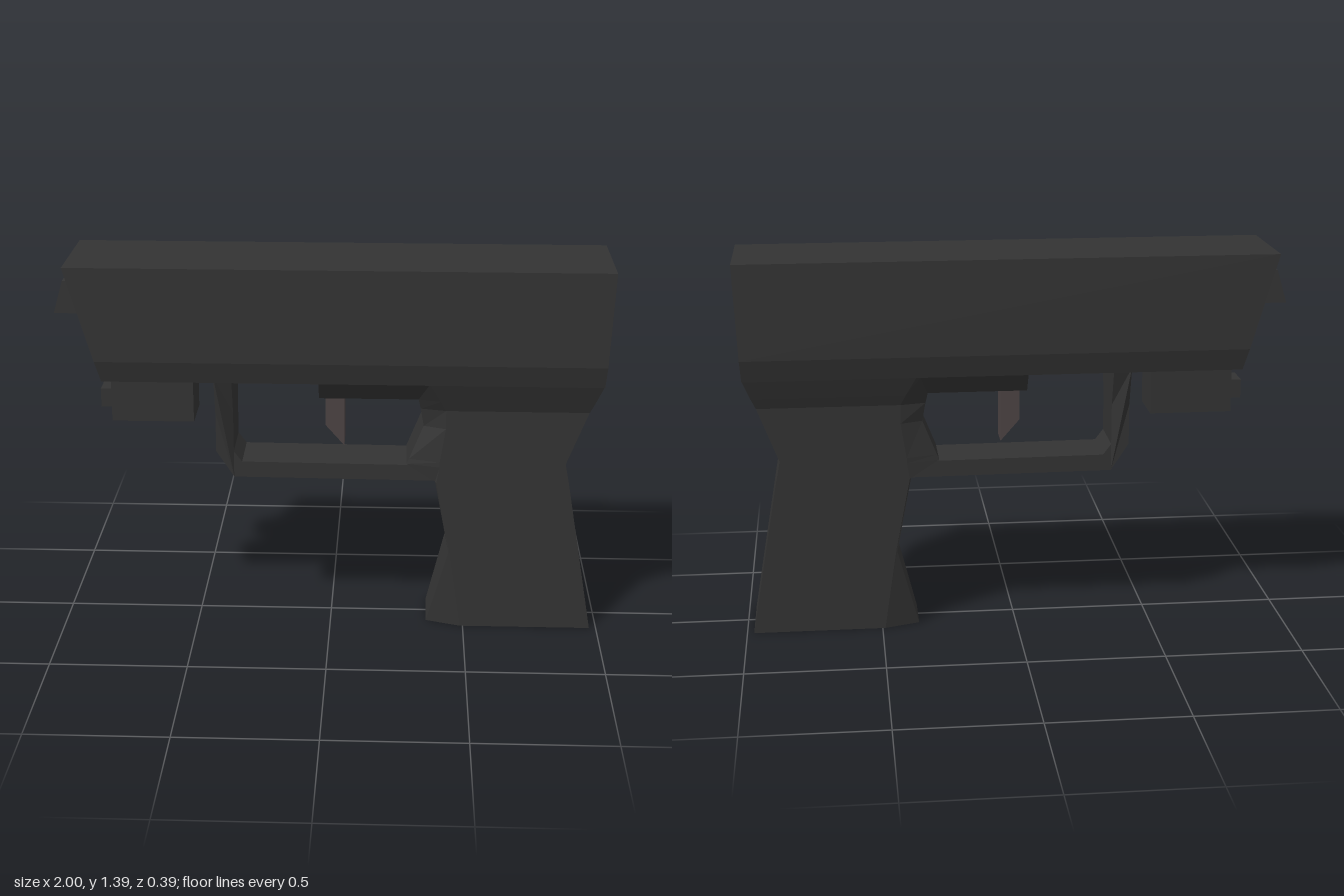
import * as THREE from 'three';

const dark = new THREE.MeshStandardMaterial({ color: 0x333333, flatShading: true });
const brown = new THREE.MeshStandardMaterial({ color: 0x4c4343, flatShading: true });

// Skin between convex rings listed bottom to top, each anticlockwise seen from above.
function loft(rings) {
  const pos = [];
  const tri = (a, b, c) => pos.push(...a, ...b, ...c);
  const n = rings[0].length;
  for (let k = 0; k < rings.length - 1; k++) {
    for (let i = 0; i < n; i++) {
      const j = (i + 1) % n;
      tri(rings[k][i], rings[k][j], rings[k + 1][j]);
      tri(rings[k][i], rings[k + 1][j], rings[k + 1][i]);
    }
  }
  const low = rings[0], top = rings[rings.length - 1];
  for (let i = 1; i < n - 1; i++) {
    tri(low[0], low[i + 1], low[i]);
    tri(top[0], top[i], top[i + 1]);
  }
  const g = new THREE.BufferGeometry();
  g.setAttribute('position', new THREE.Float32BufferAttribute(pos, 3));
  g.computeVertexNormals();
  return g;
}

// Rectangular ring: height, front x, back x, half width.
const rect = ([y, x0, x1, w]) => [[x1, y, w], [x1, y, -w], [x0, y, -w], [x0, y, w]];

// Grip ring with chamfered front corners: adds chamfer x and front half width.
const gripRing = ([y, front, cham, back, fw, w]) => [
  [back, y, w], [back, y, -w], [cham, y, -w], [front, y, -fw], [front, y, fw], [cham, y, w],
];

export function createModel() {
  const group = new THREE.Group();
  const add = (name, geometry, material = dark) => {
    const mesh = new THREE.Mesh(geometry, material);
    mesh.name = name;
    group.add(mesh);
  };

  add('slide', loft([
    [0.97, -0.82, 0.98, 0.175],
    [1.05, -0.84, 0.985, 0.195],
    [1.395, -0.94, 1, 0.195],
  ].map(rect)));

  add('grip', loft([
    [0, 0.362, 0.49, 0.975, 0.09, 0.133],
    [0.3, 0.44, 0.445, 0.923, 0.131, 0.133],
    [0.58, 0.385, 0.39, 0.874, 0.12, 0.133],
    [0.64, 0.28, 0.4, 0.862, 0.1, 0.133],
    [0.66, 0.288, 0.4, 0.858, 0.1, 0.133],
    [0.79, 0.34, 0.42, 0.908, 0.1, 0.133],
    [0.86, 0.328, 0.42, 0.935, 0.11, 0.133],
    [0.9, 0.32, 0.4, 0.952, 0.125, 0.148],
    [0.975, 0.34, 0.36, 0.98, 0.172, 0.175],
  ].map(gripRing)));

  add('triggerHousing', loft([[0.9, -0.04, 0.36, 0.125], [0.975, -0.04, 0.36, 0.175]].map(rect)));

  // Trigger guard, flaring where it meets the slide
  const guardShape = new THREE.Shape([
    [-0.42, 0.98], [-0.42, 0.83], [-0.42, 0.68], [-0.355, 0.58], [0.42, 0.575],
    [0.42, 0.635], [-0.325, 0.64], [-0.355, 0.68], [-0.355, 0.83], [-0.355, 0.98],
  ].map(([x, y]) => new THREE.Vector2(x, y)));
  const guard = new THREE.ExtrudeGeometry(guardShape, { depth: 0.2, bevelEnabled: false });
  guard.translate(0, 0, -0.1);
  const p = guard.attributes.position;
  for (let i = 0; i < p.count; i++) {
    if (p.getY(i) > 0.9) p.setZ(i, p.getZ(i) * 1.45);
  }
  guard.computeVertexNormals();
  add('triggerGuard', guard);

  const triggerShape = new THREE.Shape([
    [-0.02, 0.91], [-0.02, 0.77], [0.05, 0.69], [0.05, 0.91],
  ].map(([x, y]) => new THREE.Vector2(x, y)));
  add('trigger', new THREE.ExtrudeGeometry(triggerShape, { depth: 0.1, bevelEnabled: false })
    .translate(0, 0, -0.05), brown);

  // Barrel tip and the light mounted below the slide
  add('muzzle', loft([[1.19, -1, -0.86, 0.063], [1.31, -0.965, -0.86, 0.06]].map(rect)));
  add('lightBody', loft([[0.79, -0.8, -0.5, 0.09], [0.975, -0.8, -0.5, 0.09]].map(rect)));
  add('lightLens', loft([[0.83, -0.845, -0.79, 0.05], [0.9, -0.845, -0.79, 0.05]].map(rect)));

  return group;
}
